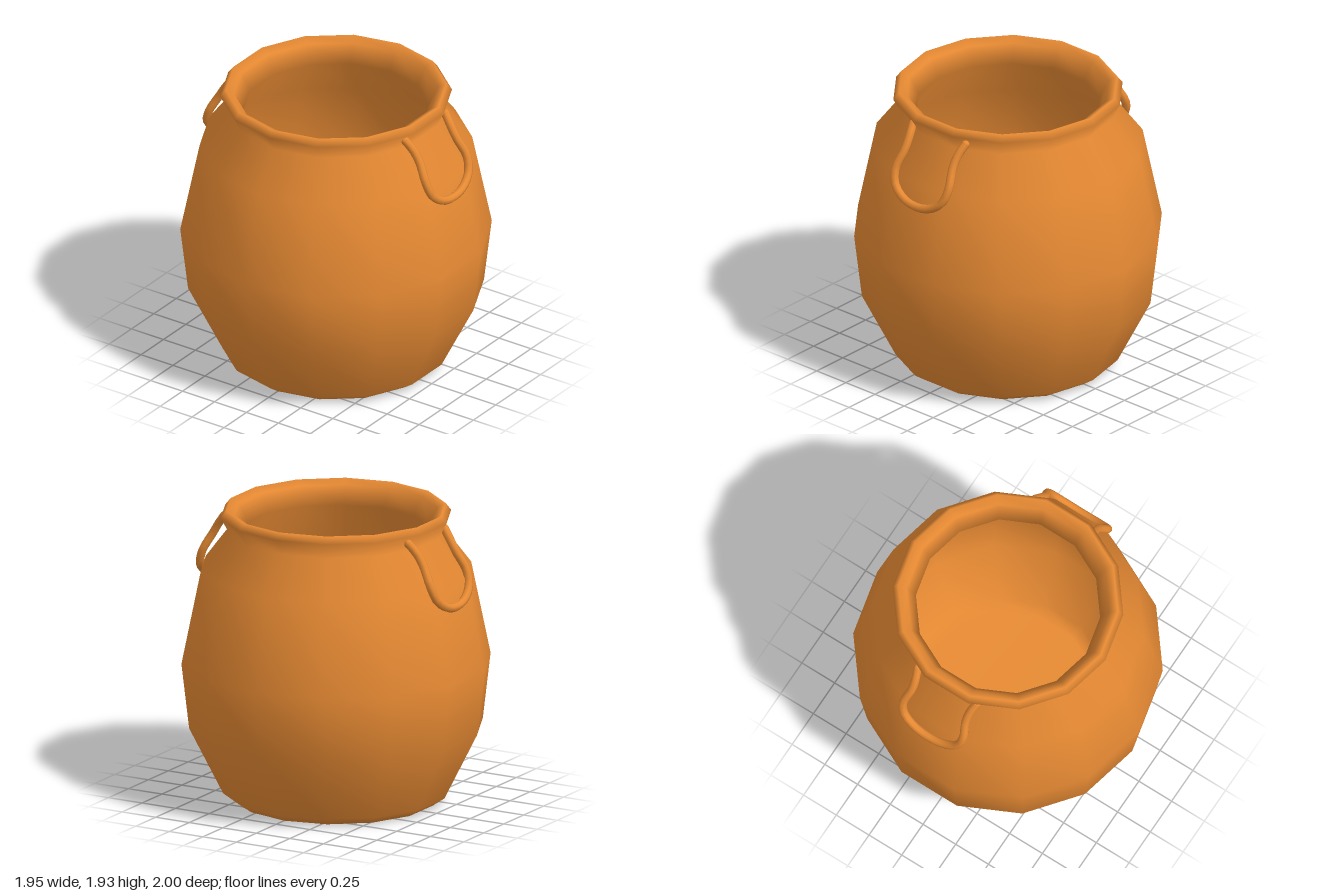
import * as THREE from 'three';

const SIDES = 14;

export function createModel() {
  const group = new THREE.Group();
  const clay = new THREE.MeshStandardMaterial({ color: 0xe78a33 });

  // Pot: one closed profile, up the outside, over the rim and down the inside
  const profile = [
    [0, 0], [0.65, 0], [0.73, 0.055], [0.95, 0.495], [1, 0.925],
    [0.875, 1.535], [0.69, 1.78], [0.745, 1.885], [0.71, 1.93],
    [0.655, 1.9], [0.595, 1.78], [0.81, 1.49], [0.93, 0.925],
    [0.88, 0.52], [0.66, 0.12], [0.58, 0.08], [0, 0.08],
  ].map(([r, y]) => new THREE.Vector2(r, y));
  const pot = new THREE.Mesh(new THREE.LatheGeometry(profile, SIDES), clay);
  pot.name = 'pot';
  group.add(pot);

  // Handles: a U-shaped cord hanging from the rim over each shoulder
  const tubeRadius = 0.028;
  const halfPath = [ // x, y, distance from the handle's middle
    [0.685, 1.84, 0.225], [0.735, 1.78, 0.208], [0.785, 1.7, 0.205],
    [0.85, 1.58, 0.228], [0.882, 1.485, 0.2], [0.902, 1.42, 0.11],
  ];
  const zMiddle = -0.02;
  for (const side of [1, -1]) {
    const at = (dir) => ([x, y, d]) => new THREE.Vector3(side * x, y, zMiddle + dir * d);
    const points = [
      ...halfPath.map(at(1)),
      new THREE.Vector3(side * 0.907, 1.4, zMiddle),
      ...halfPath.map(at(-1)).reverse(),
    ];
    const curve = new THREE.CatmullRomCurve3(points);
    const handle = new THREE.Group();
    handle.name = side > 0 ? 'leftHandle' : 'rightHandle';

    const cord = new THREE.Mesh(new THREE.TubeGeometry(curve, 28, tubeRadius, 8), clay);
    cord.name = 'handleCord';
    handle.add(cord);

    // Rounded tips close the cord under the rim
    for (const end of [points[0], points[points.length - 1]]) {
      const tip = new THREE.Mesh(new THREE.SphereGeometry(tubeRadius, 8, 6), clay);
      tip.name = 'handleTip';
      tip.position.copy(end);
      handle.add(tip);
    }
    group.add(handle);
  }
  return group;
}
